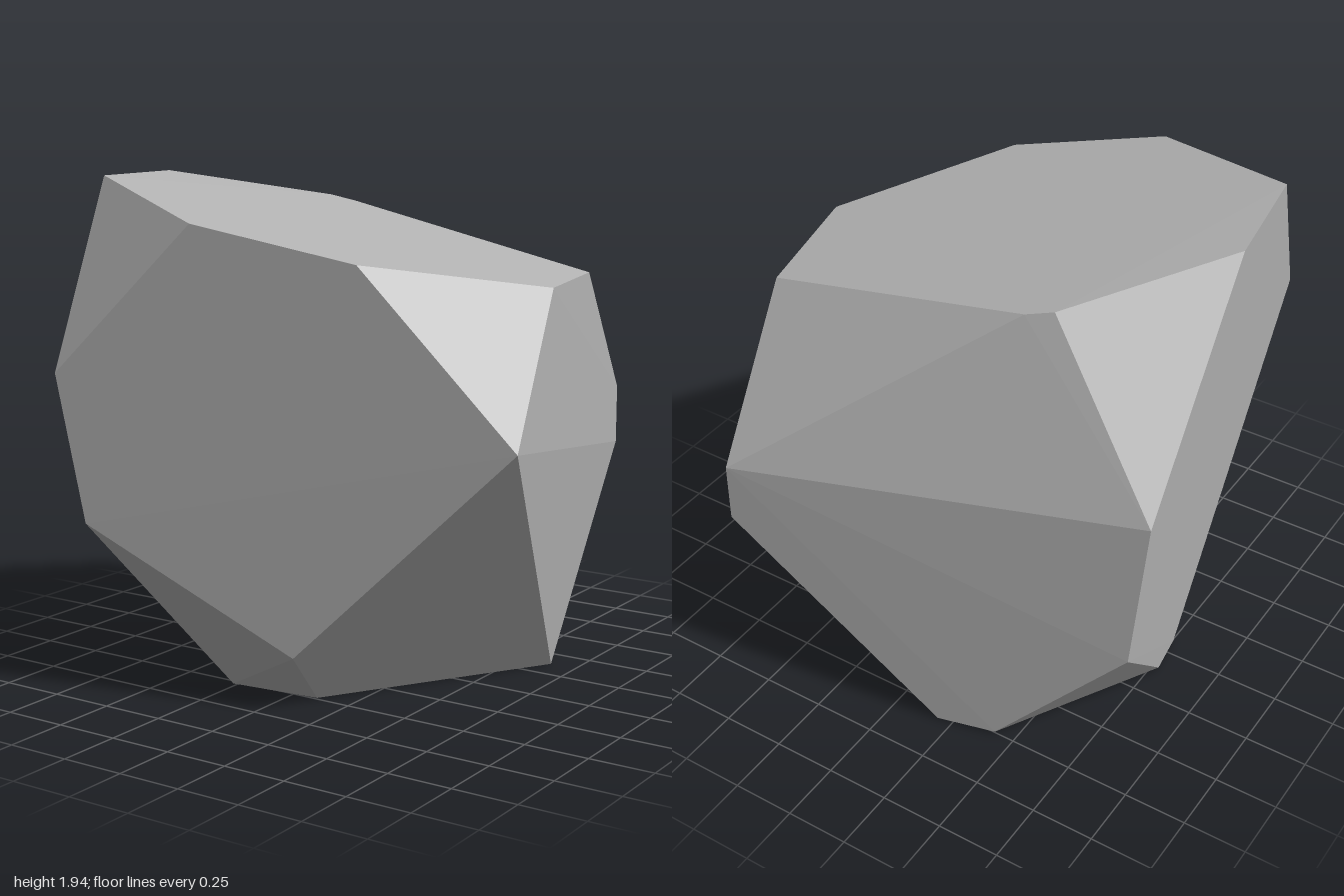
import * as THREE from 'three';
import { ConvexGeometry } from 'three/addons/geometries/ConvexGeometry.js';

// A faceted boulder: the convex hull of its chiselled corners
export function createModel() {
  const group = new THREE.Group();
  group.name = 'boulder';

  const stone = new THREE.MeshStandardMaterial({ color: 0xb3b3b3 });
  stone.name = 'grey stone';

  const corners = [
    // sloping top
    [-0.925, 1.94, 0.06], [-0.845, 1.94, 0.55], [-0.18, 1.80, 0.86], [0.41, 1.67, 0.68],
    [0.84, 1.56, 0.04], [0.71, 1.565, -0.50], [-0.39, 1.805, -0.51], [-0.49, 1.83, -0.475],
    // middle girdle
    [0.955, 1.03, 0.50], [-0.71, 1.24, 1.0], [-0.62, 0.675, 0.955], [0.15, 0.22, 0.71],
    [-0.96, 1.16, -0.59], [-0.915, 0.54, -0.625], [0.60, 1.04, -1.0], [0.60, 0.805, -1.0],
    // underside
    [0.64, 0, -0.375], [0.11, 0.005, 0.50], [-0.25, 0.01, 0.55], [-0.76, 0.015, 0.06],
    [-0.785, 0.015, -0.11], [-0.42, 0.01, -0.755], [-0.19, 0.005, -0.81],
  ].map((p) => new THREE.Vector3(...p));

  const rock = new THREE.Mesh(new ConvexGeometry(corners), stone);
  rock.name = 'rock';
  group.add(rock);
  return group;
}
